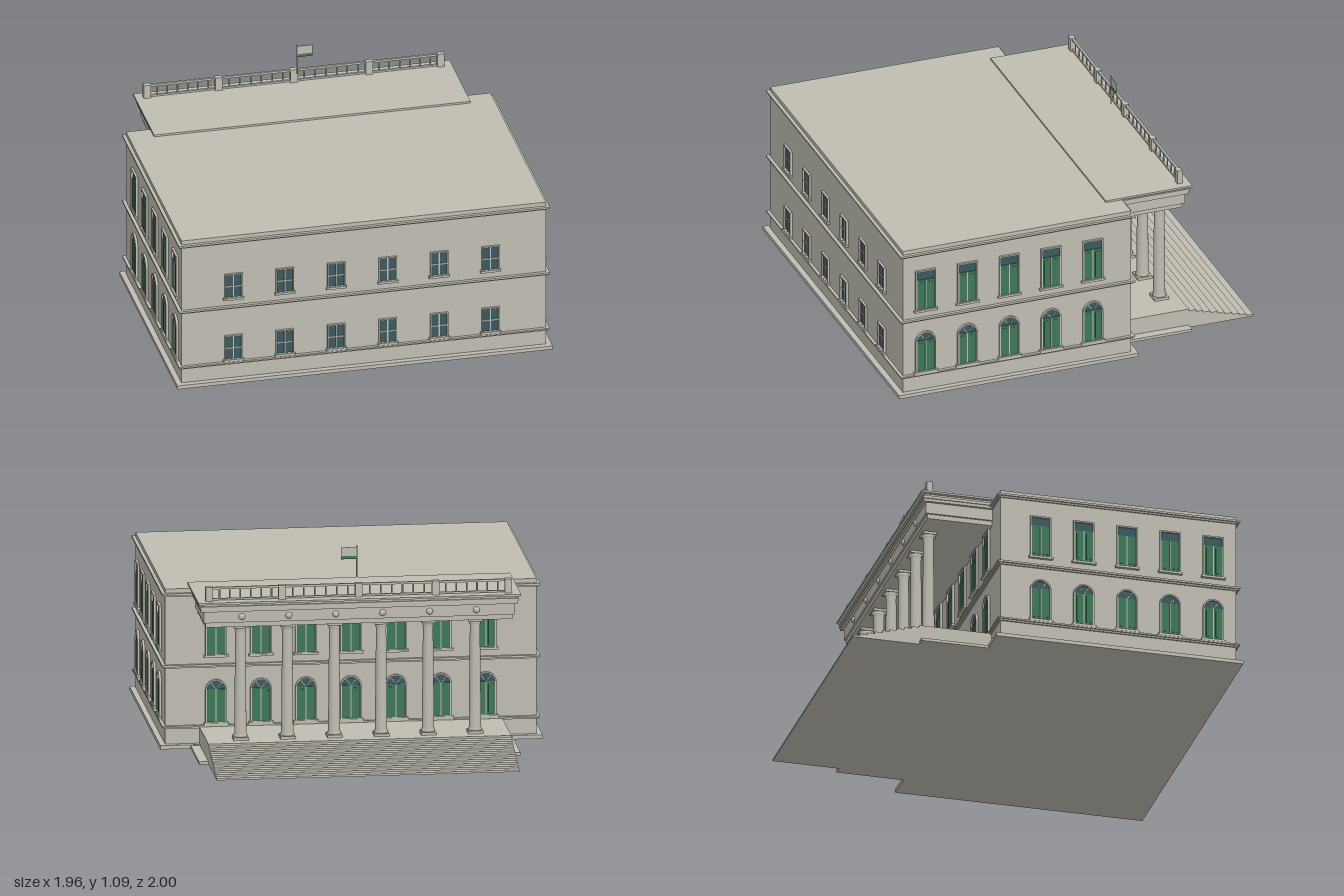
import * as THREE from 'three';

const material = (name, color, side = THREE.FrontSide) => {
  const m = new THREE.MeshStandardMaterial({ color, side });
  m.name = name;
  return m;
};

export function createModel() {
  const stone = material('stone', 0xc0beb2);
  const glass = material('window glass', 0x3a5a60);
  const green = material('shutter green', 0x3c7857);
  const model = new THREE.Group();
  model.name = 'colonnadedHouse';

  const add = (parent, name, geo, mat, x = 0, y = 0, z = 0) => {
    const mesh = new THREE.Mesh(geo, mat);
    mesh.name = name;
    mesh.position.set(x, y, z);
    parent.add(mesh);
    return mesh;
  };
  // Box given by its centre x, width, and its y and z limits
  const block = (parent, name, mat, x, w, y0, y1, z0, z1) =>
    add(parent, name, new THREE.BoxGeometry(w, y1 - y0, z1 - z0), mat, x, (y0 + y1) / 2, (z0 + z1) / 2);
  const group = (name, parent = model) => {
    const g = new THREE.Group();
    g.name = name;
    parent.add(g);
    return g;
  };

  // Main block with plinth, string courses and cornice
  const house = group('house');
  block(house, 'walls', stone, 0, 1.9, 0, 0.83, -0.27, 0.97);
  block(house, 'plinth', stone, 0, 1.956, 0, 0.02, -0.3, 1);
  const course = (name, y0, y1, out) =>
    block(house, name, stone, 0, 1.9 + 2 * out, y0, y1, -0.27 - out, 0.97 + out);
  course('baseCourse', 0.1, 0.108, 0.008);
  course('baseCourseLip', 0.108, 0.116, 0.016);
  course('middleCourse', 0.416, 0.424, 0.008);
  course('middleCourseLip', 0.424, 0.434, 0.017);
  course('cornice', 0.79, 0.798, 0.008);
  course('corniceLip', 0.798, 0.808, 0.017);

  // Outline of a rectangle or, with an arch, a round-headed opening
  const opening = (w, y0, y1, arch, Type = THREE.Shape) => {
    const s = new Type(), r = w / 2;
    s.moveTo(-r, y0);
    s.lineTo(r, y0);
    if (arch) {
      s.lineTo(r, y1 - r);
      s.absarc(0, y1 - r, r, 0, Math.PI, false);
    } else {
      s.lineTo(r, y1);
      s.lineTo(-r, y1);
    }
    s.closePath();
    return s;
  };
  const frameGeometry = (w, y0, y1, arch, t) => {
    const s = opening(w, y0, y1, arch);
    s.holes.push(opening(w - 2 * t, y0 + t, y1 - t, arch, THREE.Path));
    return new THREE.ExtrudeGeometry(s, { depth: 0.012, bevelEnabled: false, curveSegments: 16 });
  };
  const paneGeometry = (w, y0, y1, arch) => new THREE.ShapeGeometry(opening(w, y0, y1, arch), 16);

  // Small cross-barred window, facing +z
  const smallFrame = frameGeometry(0.094, 0, 0.14, false, 0.007);
  const smallPane = paneGeometry(0.084, 0.005, 0.135, false);
  const smallWindow = (x, y) => {
    const g = group('smallWindow');
    g.position.set(x, y, 0.97);
    add(g, 'frame', smallFrame, stone);
    add(g, 'pane', smallPane, glass, 0, 0, 0.003);
    block(g, 'upright', stone, 0, 0.006, 0.005, 0.135, 0, 0.007);
    block(g, 'crossbar', stone, 0, 0.084, 0.066, 0.072, 0, 0.007);
    block(g, 'sill', stone, 0, 0.106, -0.006, 0.006, 0, 0.017);
  };
  for (let i = 0; i < 6; i++) {
    const x = -0.68 + i * 0.268;
    smallWindow(x, 0.475);
    smallWindow(x, 0.124);
  }

  // Tall shuttered windows: square-headed above, round-headed below
  const tallFrames = [false, true].map(a => frameGeometry(0.11, 0, 0.23, a, 0.008));
  const tallPanes = [false, true].map(a => paneGeometry(0.1, 0.005, 0.225, a));
  const tallWindow = (x, y, z, turn, arch) => {
    const g = group(arch ? 'archedWindow' : 'tallWindow');
    g.position.set(x, y, z);
    g.rotation.y = turn;
    add(g, 'frame', tallFrames[+arch], stone);
    add(g, 'pane', tallPanes[+arch], glass, 0, 0, 0.003);
    const top = arch ? 0.18 : 0.176;
    for (const s of [-1, 1]) {
      block(g, 'shutter', green, s * 0.025, 0.044, 0.006, top, 0.003, 0.007);
      block(g, 'shutterPanel', green, s * 0.025, 0.026, 0.02, top - 0.014, 0.007, 0.009);
      if (arch) {
        const bar = block(g, 'fanBar', stone, s * 0.016, 0.003, 0.178, 0.22, 0.003, 0.006);
        bar.rotation.z = -s * 0.65;
      }
    }
    block(g, 'upright', stone, 0, 0.005, 0.005, top, 0.003, 0.009);
    block(g, 'sill', stone, 0, 0.126, -0.006, 0.006, 0, 0.017);
  };
  const bothFloors = (x, z, turn) => {
    tallWindow(x, 0.475, z, turn, false);
    tallWindow(x, 0.122, z, turn, true);
  };
  for (let i = 0; i < 5; i++) {
    const z = 0.848 - i * 0.227;
    for (const s of [-1, 1]) bothFloors(s * 0.95, z, s * Math.PI / 2);
  }
  for (let i = -3; i <= 3; i++) bothFloors(i * 0.23, -0.27, Math.PI);

  // Portico floor and stairs
  const portico = group('portico');
  block(portico, 'porticoPlinth', stone, 0, 1.645, 0, 0.015, -0.65, -0.27);
  block(portico, 'porticoFloor', stone, 0, 1.55, 0, 0.106, -0.65, -0.27);
  for (let i = 0; i < 9; i++)
    block(portico, 'step', stone, 0, 1.55, 0, 0.0106 * (i + 1), -1 + i * 0.0389, -0.64);

  // Columns with bases and capitals, and a boss on the frieze above each
  const profile = [[0, 0.12], [0.036, 0.12], [0.036, 0.13], [0.031, 0.136], [0.03, 0.3],
    [0.026, 0.668], [0.03, 0.674], [0.027, 0.68], [0.035, 0.692], [0, 0.692]];
  const columnGeometry = new THREE.LatheGeometry(profile.map(p => new THREE.Vector2(...p)), 24);
  const bossGeometry = new THREE.SphereGeometry(0.017, 16, 10);
  for (let i = 0; i < 6; i++) {
    const x = (i - 2.5) * 0.24;
    add(portico, 'columnShaft', columnGeometry, stone, x, 0, -0.555);
    block(portico, 'columnBase', stone, x, 0.078, 0.106, 0.12, -0.594, -0.516);
    block(portico, 'columnCapital', stone, x, 0.074, 0.692, 0.706, -0.592, -0.518);
    add(portico, 'friezeBoss', bossGeometry, stone, x, 0.76, -0.621).scale.z = 0.75;
  }

  // Entablature stepping outwards, and the roof slab
  const layers = [['architrave', 0.705, 0.73, 0.785, -0.61], ['frieze', 0.73, 0.79, 0.795, -0.62],
    ['porticoCornice', 0.79, 0.805, 0.81, -0.635], ['porticoCorniceLip', 0.805, 0.82, 0.815, -0.64],
    ['roofBed', 0.82, 0.833, 0.805, -0.63]];
  for (const [name, y0, y1, half, z] of layers)
    block(portico, name, stone, 0, half * 2, y0, y1, z, -0.26);
  block(portico, 'roofSlab', stone, 0, 1.65, 0.832, 0.842, -0.65, -0.18);

  // Balustrade
  const balustrade = group('balustrade');
  const posts = [-0.765, -0.3925, 0, 0.3925, 0.765];
  for (const x of posts) block(balustrade, 'post', stone, x, 0.037, 0.84, 0.915, -0.612, -0.584);
  block(balustrade, 'topRail', stone, 0, 1.53, 0.902, 0.913, -0.604, -0.592);
  block(balustrade, 'bottomRail', stone, 0, 1.53, 0.845, 0.854, -0.604, -0.592);
  const baluster = new THREE.CylinderGeometry(0.004, 0.004, 0.05, 8);
  for (let b = 0; b < 4; b++)
    for (let i = 1; i <= 6; i++)
      add(balustrade, 'baluster', baluster, stone, posts[b] + (posts[b + 1] - posts[b]) * i / 7, 0.878, -0.598);

  // Flag
  const flag = group('flag');
  add(flag, 'pole', new THREE.CylinderGeometry(0.003, 0.003, 0.165, 10), stone, 0, 1.0075, -0.52);
  block(flag, 'flagCloth', stone, 0.041, 0.08, 1.036, 1.082, -0.521, -0.519);
  block(flag, 'flagStripe', green, 0.041, 0.08, 1.02, 1.036, -0.521, -0.519);

  return model;
}
